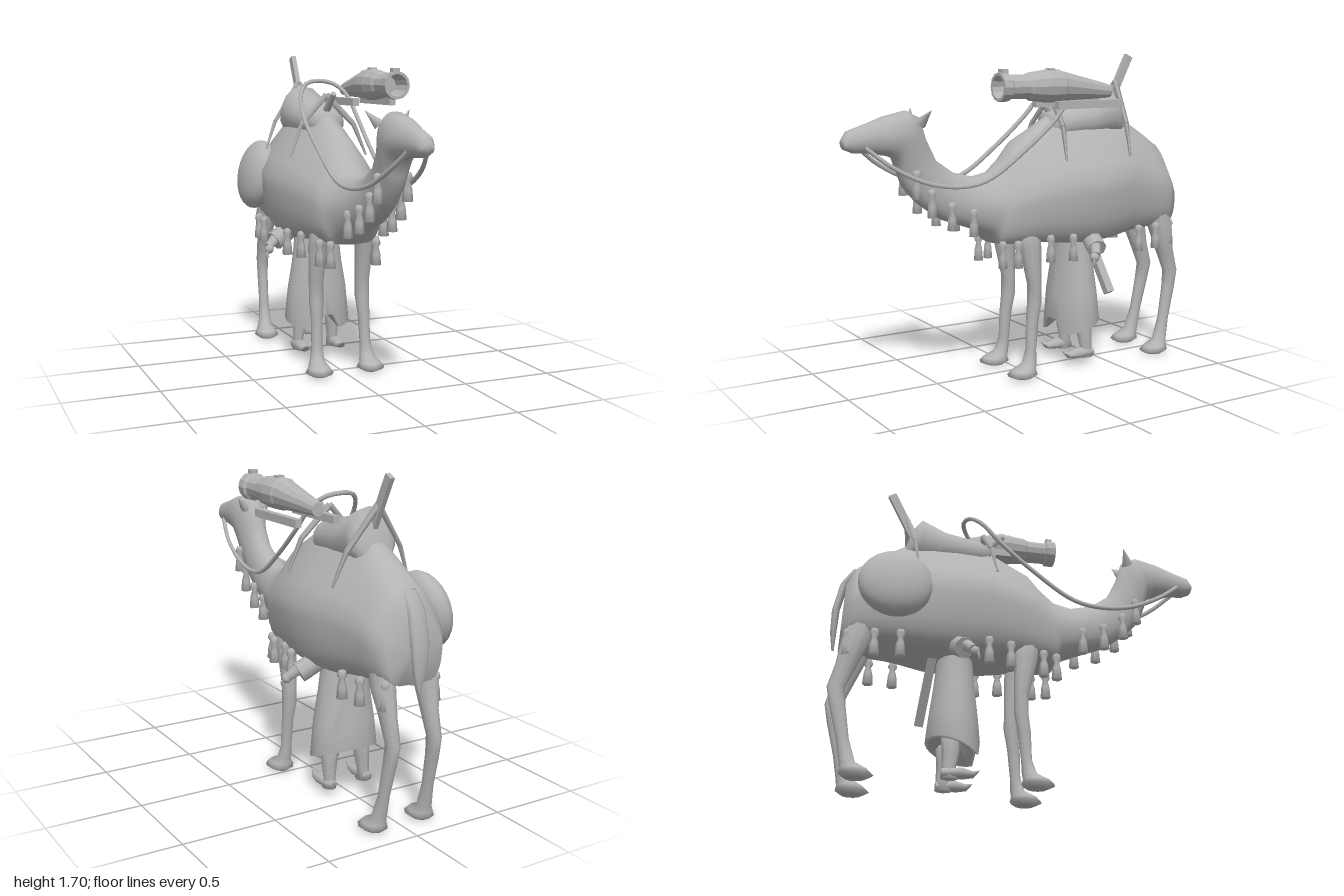
import * as THREE from 'three';

const grey = new THREE.MeshStandardMaterial({ color: 0xb4b4b4 });
grey.name = 'plain grey';
const V = (x, y, z) => new THREE.Vector3(x, y, z);

// closed skin over rings of equal point count
function loft(rings) {
  const n = rings[0].length, pos = [], idx = [];
  rings.forEach(r => r.forEach(p => pos.push(p.x, p.y, p.z)));
  for (let r = 0; r < rings.length - 1; r++) for (let i = 0; i < n; i++) {
    const a = r * n + i, b = r * n + (i + 1) % n;
    idx.push(a, b, a + n, b, b + n, a + n);
  }
  [0, rings.length - 1].forEach((r, end) => {
    const c = rings[r].reduce((s, p) => s.add(p), V(0, 0, 0)).divideScalar(n);
    const k = pos.length / 3;
    pos.push(c.x, c.y, c.z);
    for (let i = 0; i < n; i++) {
      const a = r * n + i, b = r * n + (i + 1) % n;
      end ? idx.push(k, a, b) : idx.push(k, b, a);
    }
  });
  const g = new THREE.BufferGeometry();
  g.setAttribute('position', new THREE.Float32BufferAttribute(pos, 3));
  g.setIndex(idx);
  g.computeVertexNormals();
  return g;
}

// rows: top z, top y, bottom z, bottom y, half width, roundness of the lower half, narrowing of the top
function trunk(rows, n) {
  return loft(rows.map(([zt, yt, zb, yb, w, low = 0.8, taper = 0.1]) => Array.from({ length: n }, (_, i) => {
    const a = i / n * Math.PI * 2, c = Math.cos(a), s = Math.sin(a), k = (1 - c) / 2;
    const bulge = Math.abs(s) < 1e-6 ? 0 : Math.abs(s) ** (c < 0 ? low : 0.8);
    return V(Math.sign(s) * bulge * w * (1 - taper * Math.max(0, c)), yt + (yb - yt) * k, zt + (zb - zt) * k);
  })));
}

// rows going downward: x, y, z, radius x, radius z
function limb(rows, side, n = 10) {
  return loft(rows.map(([x, y, z, rx, rz]) => Array.from({ length: n }, (_, i) => {
    const a = i / n * Math.PI * 2;
    return V(side * x - Math.sin(a) * rx, y, z + Math.cos(a) * rz);
  })));
}

// tapered rod between two points
function rod(a, b, r0, r1, n = 8) {
  const d = b.clone().sub(a), g = new THREE.CylinderGeometry(r1, r0, d.length(), n);
  g.applyQuaternion(new THREE.Quaternion().setFromUnitVectors(V(0, 1, 0), d.normalize()));
  const m = a.clone().add(b).multiplyScalar(0.5);
  return g.translate(m.x, m.y, m.z);
}

const tube = (pts, r, seg = 32, n = 6) =>
  new THREE.TubeGeometry(new THREE.CatmullRomCurve3(pts.map(p => V(...p))), seg, r, n);

const lathe = (pts, n) => new THREE.LatheGeometry(pts.map(p => new THREE.Vector2(...p)), n);

export function createModel() {
  const root = new THREE.Group();
  const add = (name, geo, parent = root) => {
    const m = new THREE.Mesh(geo, grey);
    m.name = name;
    parent.add(m);
    return m;
  };

  // head, neck and blanketed trunk as one skin
  add('body', trunk([
    [1.0, 1.305, 0.99, 1.255, 0.035], [0.975, 1.345, 0.95, 1.238, 0.05], [0.88, 1.375, 0.87, 1.232, 0.062],
    [0.78, 1.41, 0.77, 1.215, 0.085], [0.66, 1.435, 0.73, 1.2, 0.1], [0.59, 1.4, 0.71, 1.13, 0.088],
    [0.555, 1.29, 0.68, 1.05, 0.075], [0.5, 1.18, 0.6, 0.96, 0.075], [0.4, 1.11, 0.47, 0.87, 0.085],
    [0.28, 1.08, 0.33, 0.82, 0.11, 0.7, 0.2], [0.18, 1.1, 0.22, 0.78, 0.145, 0.6, 0.25],
    [0.1, 1.17, 0.19, 0.725, 0.17, 0.5, 0.3], [0.03, 1.26, 0.13, 0.72, 0.2, 0.4, 0.45],
    [-0.06, 1.31, -0.02, 0.72, 0.235, 0.4, 0.55], [-0.19, 1.39, -0.2, 0.7, 0.275, 0.4, 0.65],
    [-0.35, 1.41, -0.36, 0.69, 0.287, 0.4, 0.68], [-0.5, 1.41, -0.5, 0.7, 0.27, 0.4, 0.65],
    [-0.61, 1.38, -0.62, 0.72, 0.243, 0.4, 0.55], [-0.69, 1.33, -0.7, 0.73, 0.223, 0.4, 0.45],
    [-0.79, 1.265, -0.8, 0.735, 0.21, 0.4, 0.35], [-0.88, 1.2, -0.89, 0.74, 0.198, 0.4, 0.3],
    [-0.935, 1.1, -0.95, 0.75, 0.16, 0.4, 0.3],
  ], 28));

  // hump cushion between the saddle bows
  add('saddleCushion', trunk([
    [-0.17, 1.4, -0.17, 1.28, 0.08], [-0.23, 1.43, -0.23, 1.25, 0.12], [-0.42, 1.465, -0.42, 1.25, 0.13],
    [-0.55, 1.53, -0.55, 1.25, 0.135], [-0.595, 1.47, -0.6, 1.25, 0.125], [-0.63, 1.37, -0.64, 1.25, 0.08],
  ], 14));

  // saddle bows, straps and horns
  for (const [name, y, z, zf] of [['frontSaddle', 1.49, -0.2, -0.16], ['rearSaddle', 1.55, -0.63, -0.575]]) {
    for (const s of [-1, 1]) {
      add(name + 'Bow', rod(V(0, y, z), V(s * 0.155, 1.33, zf - 0.02), 0.018, 0.015, 4));
      add(name + 'Strap', rod(V(s * 0.155, 1.33, zf - 0.02), V(s * 0.222, 1.16, zf), 0.014, 0.006, 4));
    }
  }
  const horn = add('rearHorn', new THREE.BoxGeometry(0.026, 0.34, 0.045));
  horn.position.set(0, 1.542, -0.642);
  horn.rotation.x = -0.47;
  add('frontHorn', rod(V(0, 1.4, -0.2), V(0, 1.5, -0.09), 0.022, 0.015, 6));

  // leaf-shaped ears
  for (const s of [-1, 1]) {
    const ear = add('ear', new THREE.ConeGeometry(0.036, 0.1, 6));
    ear.scale.x = 0.7;
    ear.position.set(s * 0.09, 1.405, 0.592);
    ear.rotation.set(-0.5, 0, -s * 0.65);
  }

  // legs with broad feet
  const fore = [
    [0.12, 0.82, 0.02, 0.05, 0.07], [0.135, 0.7, 0.01, 0.05, 0.062], [0.135, 0.5, -0.015, 0.04, 0.038],
    [0.135, 0.4, -0.015, 0.04, 0.038], [0.138, 0.3, 0, 0.032, 0.034], [0.142, 0.15, 0.01, 0.03, 0.028],
    [0.147, 0.075, 0.025, 0.04, 0.04], [0.15, 0.045, 0.06, 0.058, 0.07], [0.15, 0.02, 0.068, 0.075, 0.085],
    [0.15, 0, 0.06, 0.04, 0.05],
  ];
  const hind = [
    [0.1, 0.95, -0.82, 0.06, 0.07], [0.125, 0.74, -0.865, 0.06, 0.075], [0.12, 0.6, -0.905, 0.042, 0.055],
    [0.12, 0.47, -0.95, 0.034, 0.045], [0.125, 0.37, -0.935, 0.03, 0.04], [0.13, 0.2, -0.9, 0.028, 0.032],
    [0.135, 0.08, -0.87, 0.038, 0.04], [0.14, 0.045, -0.835, 0.058, 0.07], [0.14, 0.02, -0.825, 0.07, 0.085],
    [0.14, 0, -0.83, 0.04, 0.05],
  ];
  for (const s of [-1, 1]) {
    add('frontLeg', limb(fore, s));
    add('hindLeg', limb(hind, s));
  }

  // broad tail
  add('tail', limb([
    [0, 1.19, -0.89, 0.035, 0.02], [0, 1.1, -0.945, 0.05, 0.022], [0, 0.95, -0.978, 0.055, 0.02],
    [0, 0.82, -0.982, 0.04, 0.016], [0, 0.72, -0.978, 0.006, 0.006],
  ], 1, 8));

  // tassels: x, top y, z, on both sides
  const tassel = lathe([[0, -0.14], [0.028, -0.14], [0.023, -0.08], [0.014, -0.045], [0.025, -0.025], [0.018, 0], [0, 0.005]], 6);
  for (const [x, y, z] of [
    [0.08, 1.14, 0.64], [0.085, 1.04, 0.56], [0.09, 0.965, 0.45], [0.1, 0.925, 0.33],
    [0.13, 0.745, 0.175], [0.16, 0.745, 0.1], [0.195, 0.765, -0.08], [0.23, 0.765, -0.2],
    [0.21, 0.77, -0.65], [0.195, 0.77, -0.78], [0.145, 0.775, -0.915],
  ]) for (const s of [-1, 1]) add('tassel', tassel).position.set(s * x, y, z);

  // reins looping over the saddle
  const rein = [[0.05, 1.265, 0.9], [0.085, 1.17, 0.78], [0.11, 1.08, 0.6], [0.13, 1.05, 0.42], [0.14, 1.075, 0.27],
    [0.15, 1.22, 0.05], [0.155, 1.38, -0.14], [0.135, 1.49, -0.23], [0.08, 1.55, -0.29]];
  add('reins', tube([...rein, [0, 1.565, -0.315], ...rein.map(([x, y, z]) => [-x, y, z]).reverse()], 0.012, 72));

  // round shield on the flank
  const shield = add('shield', new THREE.SphereGeometry(0.2, 24, 14));
  shield.scale.set(0.5, 1, 0.97);
  shield.position.set(-0.235, 1.02, -0.69);
  shield.rotation.z = -0.2;

  // large spyglass: hollow wide end forward, slim drooping rear
  const barrel = lathe([
    [0, -0.43], [0.034, -0.43], [0.04, -0.4], [0.06, -0.25], [0.078, -0.12], [0.084, -0.11], [0.084, -0.02],
    [0.08, 0], [0.072, 0.07], [0.062, 0.09], [0.06, 0.19], [0.073, 0.2], [0.073, 0.25], [0.058, 0.25], [0.045, 0.14], [0, 0.14],
  ], 12).rotateX(Math.PI / 2).toNonIndexed();
  const bp = barrel.attributes.position;
  for (let i = 0; i < bp.count; i++) {
    bp.setY(i, bp.getY(i) + 1.548 + 0.11 * Math.min(0, bp.getZ(i) + 0.12));
  }
  barrel.computeVertexNormals();
  add('spyglass', barrel).position.x = 0.212;
  for (const z of [0.22, -0.06]) {
    add('spyglassFitting', new THREE.BoxGeometry(0.04, 0.025, 0.035)).position.set(0.212, 1.625, z);
  }
  for (const x of [0.105, 0.32]) {
    add('rail', new THREE.BoxGeometry(0.035, 0.04, 0.4)).position.set(x, 1.455, -0.23);
  }

  // robed figure beneath the trunk
  const figure = new THREE.Group();
  figure.name = 'robedFigure';
  root.add(figure);
  const robe = lathe([[0, 0.3], [0.16, 0.22], [0.188, 0.22], [0.17, 0.4], [0.145, 0.55], [0.125, 0.72], [0.12, 0.82]], 24);
  const rp = robe.attributes.position;
  for (let i = 0; i < rp.count; i++) {
    const z = rp.getZ(i), x = rp.getX(i);
    if (rp.getY(i) < 0.25) rp.setY(i, z > 0.1 && Math.abs(x) < 0.07 ? 0.26 : 0.22 - z * 0.25);
    rp.setZ(i, z * 0.74 - 0.345);
  }
  robe.computeVertexNormals();
  add('robe', robe, figure);
  for (const s of [-1, 1]) {
    add('sleeve', rod(V(s * 0.1, 0.77, -0.37), V(s * 0.26, 0.68, -0.33), 0.05, 0.055), figure);
    add('forearm', rod(V(s * 0.24, 0.71, -0.33), V(s * 0.305, 0.655, -0.295), 0.035, 0.024), figure);
    add('hand', new THREE.SphereGeometry(0.026, 8, 6), figure).position.set(s * 0.305, 0.645, -0.285);
    add('finger', tube([[s * 0.3, 0.645, -0.28], [s * 0.325, 0.625, -0.27], [s * 0.318, 0.6, -0.265]], 0.007, 6, 5), figure);
    add('shin', limb([[0.09, 0.3, -0.37, 0.045, 0.05], [0.1, 0.18, -0.365, 0.04, 0.045],
      [0.105, 0.09, -0.375, 0.03, 0.035], [0.105, 0.04, -0.37, 0.035, 0.045]], s, 8), figure);
    const shoe = add('shoe', trunk([[-0.22, 0.09, -0.225, 0.08, 0.008], [-0.26, 0.085, -0.25, 0.05, 0.028],
      [-0.31, 0.1, -0.3, 0.04, 0.038], [-0.41, 0.09, -0.41, 0.04, 0.03]], 8), figure);
    shoe.position.x = s * 0.11;
  }
  // scabbard slung across the back
  const scabbard = add('scabbard', new THREE.BoxGeometry(0.045, 0.38, 0.045), figure);
  scabbard.position.set(0.05, 0.56, -0.485);
  scabbard.rotation.set(0.12, 0, 0.5);
  return root;
}
